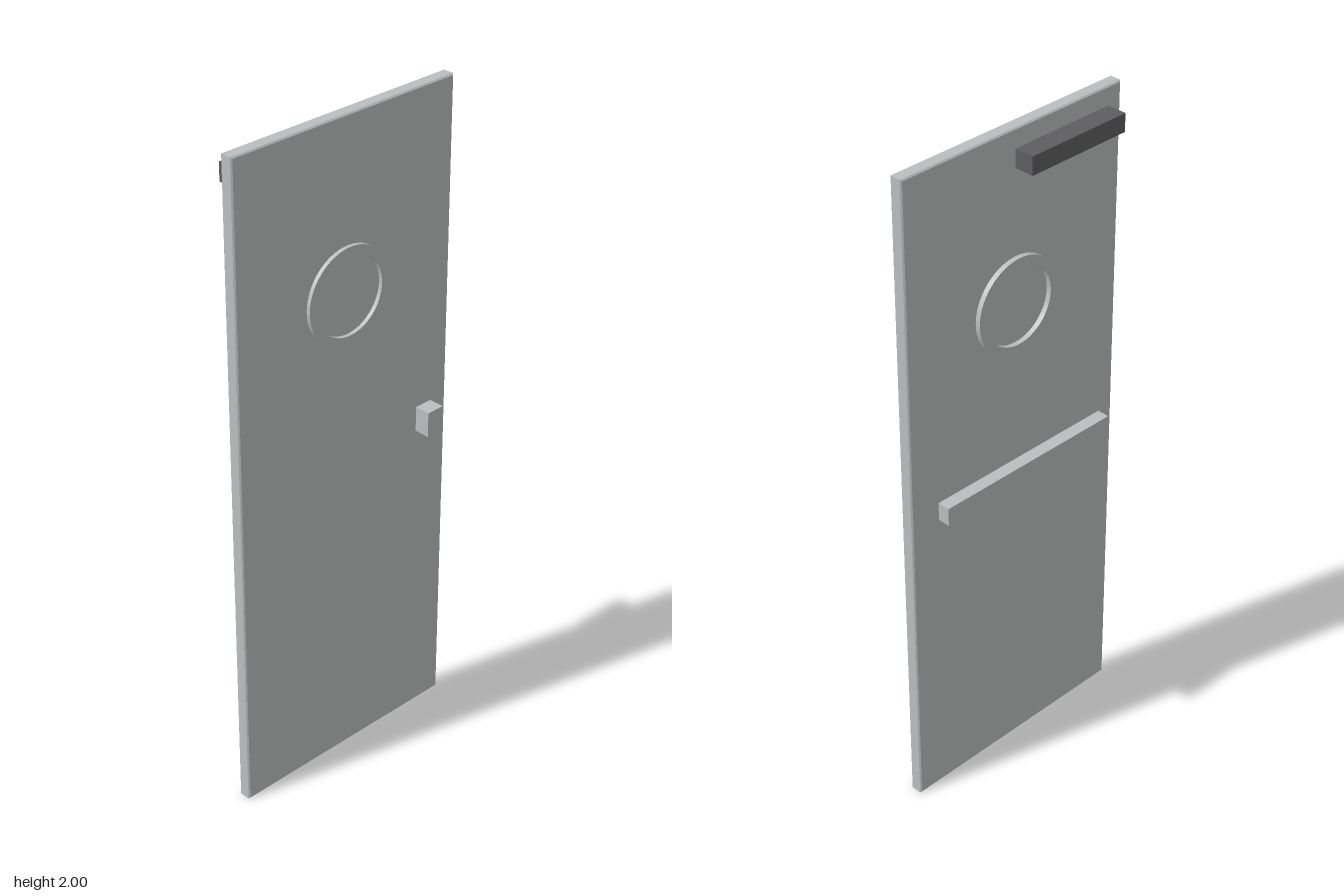
import * as THREE from 'three';

export function createModel() {
  const model = new THREE.Group();
  model.name = 'door';
  const steel = new THREE.MeshStandardMaterial({ name: 'brushed steel', color: 0xbabebe });
  const dark = new THREE.MeshStandardMaterial({ name: 'dark grey', color: 0x5e5e60 });

  const add = (name, geometry, material, x, y, z) => {
    const mesh = new THREE.Mesh(geometry, material);
    mesh.name = name;
    mesh.position.set(x, y, z);
    model.add(mesh);
  };
  // Block given by its low and high corners
  const block = (name, material, [x0, y0, z0], [x1, y1, z1]) =>
    add(name, new THREE.BoxGeometry(x1 - x0, y1 - y0, z1 - z0), material,
      (x0 + x1) / 2, (y0 + y1) / 2, (z0 + z1) / 2);

  // Door leaf with a fine chamfer round both faces
  const bevel = 0.004, halfW = 0.383, back = -0.015, front = 0.025;
  const w = halfW - bevel;
  const outline = new THREE.Shape([
    new THREE.Vector2(-w, bevel), new THREE.Vector2(w, bevel),
    new THREE.Vector2(w, 2 - bevel), new THREE.Vector2(-w, 2 - bevel),
  ]);
  add('doorLeaf', new THREE.ExtrudeGeometry(outline, {
    depth: front - back - 2 * bevel, bevelEnabled: true,
    bevelSize: bevel, bevelThickness: bevel, bevelSegments: 1,
  }), steel, 0, 0, back + bevel);

  // Round window frame, standing proud on both faces
  const ring = new THREE.Shape().absarc(0, 0, 0.143, 0, Math.PI * 2, false);
  ring.holes.push(new THREE.Path().absarc(0, 0, 0.117, 0, Math.PI * 2, true));
  add('windowFrame', new THREE.ExtrudeGeometry(ring, {
    depth: 0.067, bevelEnabled: false, curveSegments: 32,
  }), steel, 0, 1.493, -0.03);

  // Front handle, rear push bar and door closer
  block('handle', steel, [0.268, 0.965, 0.024], [0.325, 1.042, 0.073]);
  block('pushBar', steel, [-0.307, 0.965, -0.075], [0.307, 1.02, -0.037]);
  block('doorCloser', dark, [-0.337, 1.89, -0.075], [0, 1.944, -0.014]);

  return model;
}
